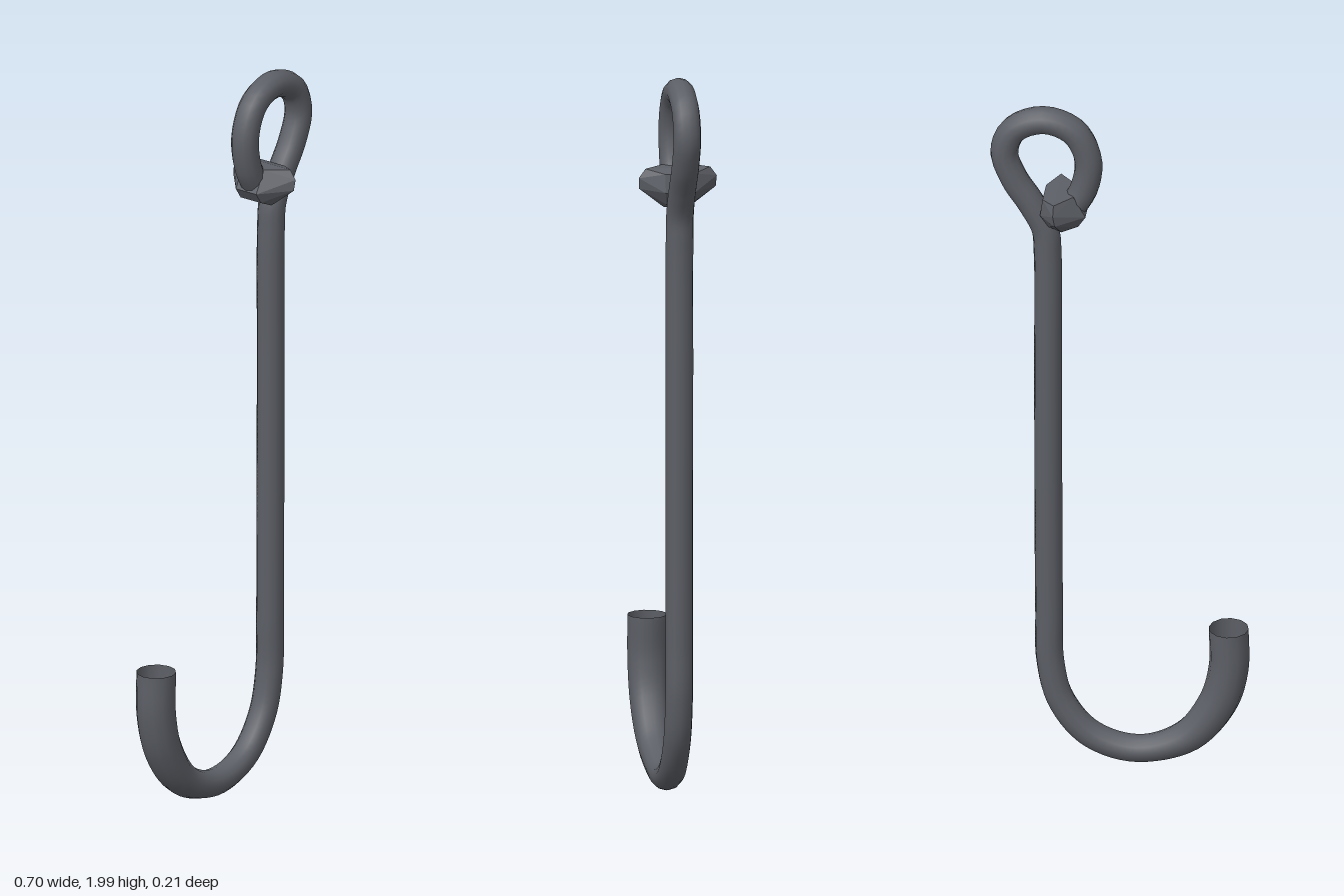
import * as THREE from 'three';
import { ConvexGeometry } from 'three/addons/geometries/ConvexGeometry.js';

const ROD = 0.0375, TIP = 0.054;

// Rod centre line from the open tip, round the bend, up the shaft and round the eye
const path = [
  [-0.297, 0.43], [-0.297, 0.31], [-0.268, 0.2], [-0.185, 0.09], [-0.05, 0.043],
  [0.075, 0.08], [0.155, 0.18], [0.184, 0.3], [0.187, 0.45], [0.189, 0.8], [0.19, 1.2],
  [0.191, 1.55], [0.198, 1.63], [0.235, 1.705], [0.282, 1.78], [0.308, 1.86],
  [0.281, 1.93], [0.2, 1.963], [0.12, 1.932], [0.082, 1.85], [0.093, 1.76], [0.125, 1.7],
];

function rodGeometry() {
  const curve = new THREE.CatmullRomCurve3(path.map(([x, y]) => new THREE.Vector3(x, y, 0)));
  const segments = 140, sides = 12;
  const geometry = new THREE.TubeGeometry(curve, segments, ROD, sides);
  const pos = geometry.attributes.position, v = new THREE.Vector3();
  // Swell the rod gradually towards the tip
  for (let i = 0; i < pos.count; i++) {
    const centre = curve.getPointAt(Math.floor(i / (sides + 1)) / segments);
    const swell = 1 - THREE.MathUtils.smoothstep(centre.x, -0.32, -0.06);
    const radius = ROD + (TIP - ROD) * swell;
    v.fromBufferAttribute(pos, i).sub(centre).multiplyScalar(radius / ROD).add(centre);
    pos.setXYZ(i, v.x, v.y, v.z);
  }
  return geometry;
}

// Flared, hammered end of the rod that wedges into the eye
function flareGeometry() {
  const points = [];
  for (const s of [-1, 1]) {
    for (const [x, y, z] of [
      [0.085, 1.69, 0.035], [0.118, 1.75, 0.035], [0.2, 1.74, 0.04], [0.207, 1.69, 0.04],
      [0.185, 1.655, 0.035], [0.15, 1.64, 0.035], [0.105, 1.66, 0.035],
      [0.165, 1.75, 0.088], [0.165, 1.725, 0.106], [0.16, 1.695, 0.104],
    ]) points.push(new THREE.Vector3(x, y, s * z));
  }
  return new ConvexGeometry(points);
}

export function createModel() {
  const iron = new THREE.MeshStandardMaterial({ color: 0x5c5f66, side: THREE.DoubleSide });
  iron.name = 'dark iron';
  const group = new THREE.Group();
  group.name = 'hook';
  for (const [name, geometry] of [['bentRod', rodGeometry()], ['flaredEnd', flareGeometry()]]) {
    const mesh = new THREE.Mesh(geometry, iron);
    mesh.name = name;
    group.add(mesh);
  }
  return group;
}
